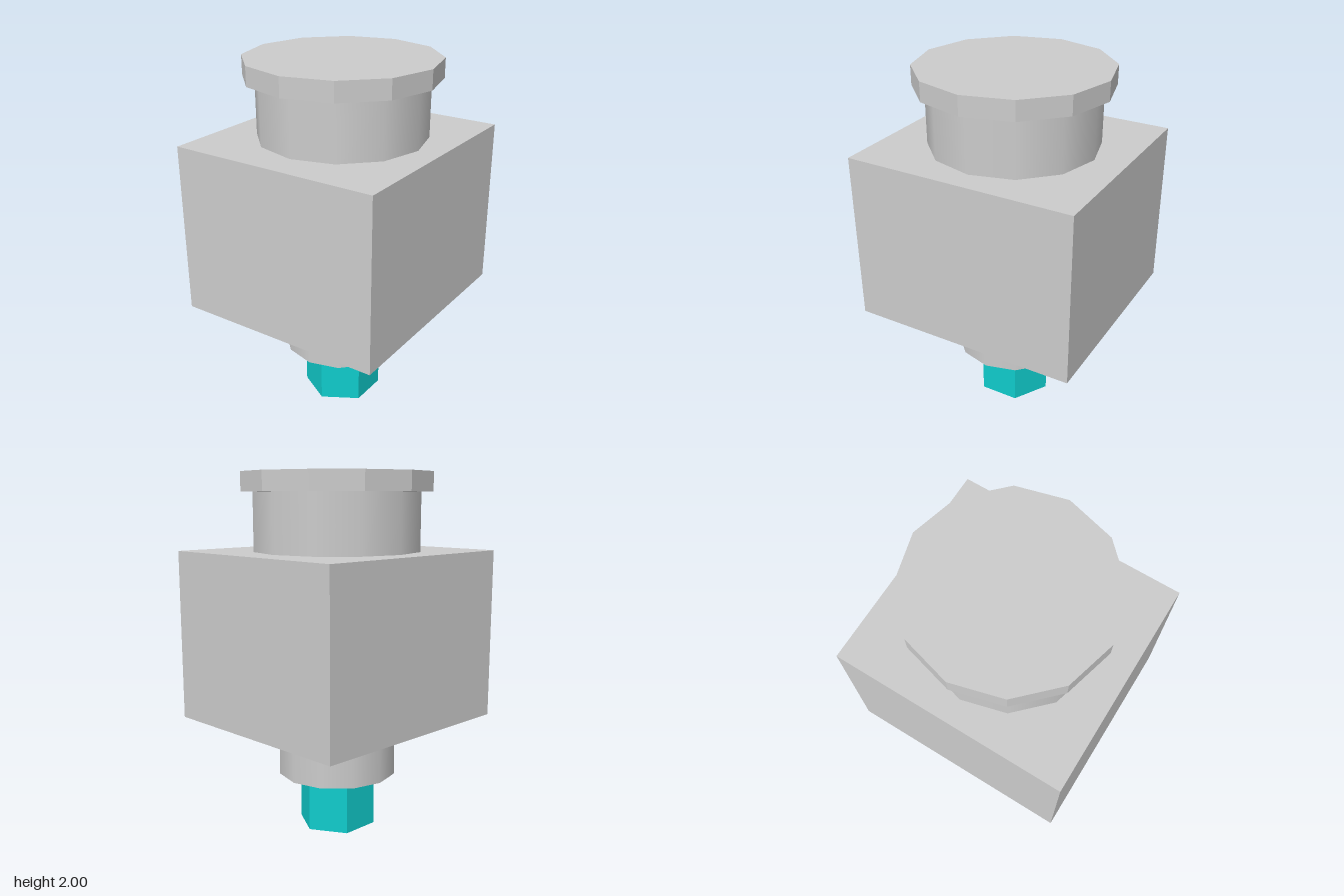
import * as THREE from 'three';

const material = (name, color, flatShading = false) => {
  const m = new THREE.MeshStandardMaterial({ color, flatShading });
  m.name = name;
  return m;
};

export function createModel() {
  const group = new THREE.Group();
  const grey = material('light grey', 0xcccccc);
  const black = material('black rubber', 0x1a1a1a);
  const teal = material('teal', 0x10cccc);

  const add = (name, geometry, mat, y) => {
    const mesh = new THREE.Mesh(geometry, mat);
    mesh.name = name;
    mesh.position.y = y;
    group.add(mesh);
  };

  // Upright prism between two heights, smooth or faceted
  const prism = (name, radius, bottom, top, sides, mat, faceted = false) => {
    let geometry = new THREE.CylinderGeometry(radius, radius, top - bottom, sides);
    if (faceted) {
      geometry = geometry.toNonIndexed();
      geometry.computeVertexNormals();
    }
    add(name, geometry, mat, (bottom + top) / 2);
  };

  // Hexagonal tip, collar and gasket below the housing
  prism('hexTip', 0.22, 0, 0.31, 6, teal, true);
  prism('lowerCollar', 0.337, 0.31, 0.592, 12, grey);
  prism('gasket', 0.422, 0.592, 0.63, 12, black);

  // Main housing
  add('housing', new THREE.BoxGeometry(1.19, 0.945, 1.276), grey, 1.1025);

  // Neck and cap above the housing
  prism('neck', 0.464, 1.575, 1.895, 12, grey);
  prism('cap', 0.528, 1.895, 2, 12, grey, true);

  return group;
}
